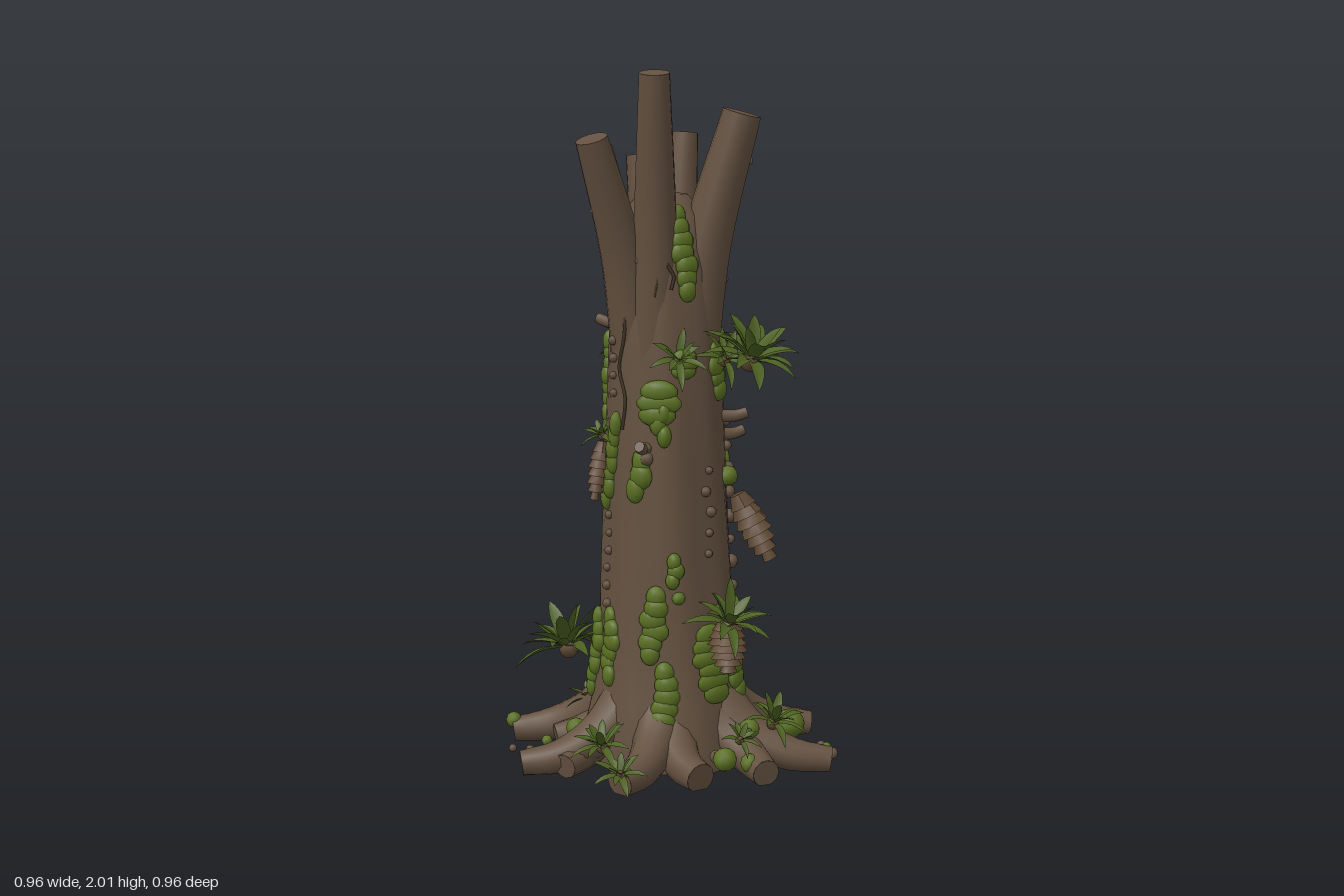
import * as THREE from 'three';
import { mergeGeometries, toCreasedNormals } from 'three/addons/utils/BufferGeometryUtils.js';

const V = (x, y, z) => new THREE.Vector3(x, y, z);
const UP = V(0, 1, 0), FWD = V(0, 0, 1);

export function createModel() {
  const model = new THREE.Group();
  model.name = 'mossyTrunk';
  const mat = (name, color, side = THREE.FrontSide) => {
    const m = new THREE.MeshStandardMaterial({ color, side });
    m.name = name;
    return m;
  };
  const bark = mat('bark', 0x645140);
  const moss = mat('moss', 0x5a7022);
  const leaf = mat('leaf', 0x4b5f20, THREE.DoubleSide);
  const husk = mat('husk', 0x5e4833, THREE.DoubleSide);
  const vineBrown = mat('vineBrown', 0x3f3423);

  let seed = 7;
  const rnd = () => (seed = (seed * 16807) % 2147483647) / 2147483647;
  const add = (name, geo, material) => {
    const m = new THREE.Mesh(geo, material);
    m.name = name;
    model.add(m);
    return m;
  };

  // Trunk profile [radius, y], with a slight lean
  const profile = [[0, 0.012], [0.25, 0.012], [0.25, 0.08], [0.222, 0.2], [0.2, 0.36], [0.187, 0.6],
    [0.172, 0.9], [0.162, 1.2], [0.148, 1.45], [0.12, 1.6], [0.07, 1.66], [0, 1.67]];
  const lean = y => [-0.014 * y, 0.02 * y];
  const radiusAt = y => {
    for (let i = 2; i < profile.length; i++) {
      const [r0, y0] = profile[i - 1], [r1, y1] = profile[i];
      if (y <= y1) return r0 + (r1 - r0) * (y - y0) / (y1 - y0);
    }
    return 0;
  };
  const flute = (a, y) => 1 + 0.025 * Math.sin(a * 7 + y * 2) + 0.015 * Math.sin(a * 4 - y * 5);
  const trunk = new THREE.LatheGeometry(profile.map(([r, y]) => new THREE.Vector2(r, y)), 40);
  const tp = trunk.attributes.position;
  for (let i = 0; i < tp.count; i++) {
    const x = tp.getX(i), y = tp.getY(i), z = tp.getZ(i), k = flute(Math.atan2(x, z), y), [lx, lz] = lean(y);
    tp.setXYZ(i, x * k + lx, y, z * k + lz);
  }
  add('trunk', toCreasedNormals(trunk, 0.9), bark);

  // Point on the bark at an angle (0 = front, positive towards +x) and height
  const onTrunk = (a, y, out = 0) => {
    const r = radiusAt(y) * flute(a, y) + out, [lx, lz] = lean(y);
    return V(Math.sin(a) * r + lx, y, Math.cos(a) * r + lz);
  };

  // Tapered tube with a flat cut end
  const limb = (pts, r0, r1, sides = 10, floor = false) => {
    const curve = new THREE.CatmullRomCurve3(pts), n = 12;
    const tube = new THREE.TubeGeometry(curve, n, 1, sides), p = tube.attributes.position;
    const v = V(0, 0, 0);
    for (let i = 0; i < p.count; i++) {
      const t = Math.floor(i / (sides + 1)) / n, c = curve.getPointAt(t);
      v.fromBufferAttribute(p, i).sub(c).multiplyScalar(r0 + (r1 - r0) * t).add(c);
      p.setXYZ(i, v.x, v.y, v.z);
    }
    const cap = new THREE.CircleGeometry(r1, sides);
    cap.applyQuaternion(new THREE.Quaternion().setFromUnitVectors(FWD, curve.getTangentAt(1)));
    cap.translate(...curve.getPointAt(1).toArray());
    const g = mergeGeometries([tube, cap]), q = g.attributes.position;
    if (floor) for (let i = 0; i < q.count; i++) q.setY(i, Math.max(q.getY(i), 0.004));
    return toCreasedNormals(g, 0.9);
  };

  // Cut limbs at the crown: base, end, base radius, end radius
  [[[-0.05, 1.15, 0.09], [-0.07, 2.0, 0.22], 0.08, 0.043],
    [[-0.09, 1.15, 0.05], [-0.24, 1.82, 0.18], 0.08, 0.046],
    [[0.04, 1.15, 0.06], [0.19, 1.89, 0.12], 0.09, 0.055],
    [[0.02, 1.2, -0.04], [0.055, 1.83, -0.085], 0.075, 0.04],
    [[-0.04, 1.2, -0.01], [-0.08, 1.77, -0.04], 0.075, 0.04],
    [[-0.1, 1.2, 0.0], [-0.2, 1.79, -0.03], 0.07, 0.04],
    [[0.01, 1.2, -0.03], [0.1, 1.53, -0.27], 0.06, 0.036]].forEach(([a, b, r0, r1]) => {
    const A = V(...a), B = V(...b), mid = A.clone().lerp(B, 0.5);
    mid.x = A.x + (B.x - A.x) * 0.36;
    mid.z = A.z + (B.z - A.z) * 0.36;
    add('cutLimb', limb([A, mid, B], r0, r1, 14), bark);
  });

  // Spreading roots: end x, end z, end radius
  [[-0.45, -0.18, 0.036], [-0.45, 0.16, 0.036], [-0.33, 0.21, 0.036], [-0.19, -0.32, 0.04], [0.29, -0.27, 0.038],
    [0.45, -0.13, 0.036], [0.44, 0.24, 0.036], [0.23, 0.35, 0.04], [0.04, 0.37, 0.044], [-0.19, 0.38, 0.042],
    [0.17, -0.31, 0.036], [0.0, -0.32, 0.036], [-0.33, -0.08, 0.04], [0.33, 0.07, 0.04]].forEach(([x, z, r], i) => {
    const a = Math.atan2(x, z), d = Math.hypot(x, z), bend = (i % 2 ? 0.16 : -0.16);
    const at = (k, y, w) => V(Math.sin(a + w) * d * k, y, Math.cos(a + w) * d * k);
    add('root', limb([at(0.22, 0.24, bend), at(0.52, 0.11, bend), at(0.78, 0.055, bend * 0.6), at(1, 0.04, 0)],
      0.085, r, 12, true), bark);
  });

  // Broken twigs: angle, height, length, rise
  [[1.45, 1.02, 0.07, 0.01], [1.7, 0.96, 0.06, 0.01], [3.0, 1.27, 0.07, 0.03], [2.9, 0.55, 0.05, 0], [2.2, 1.36, 0.09, 0.05],
    [-2.3, 1.28, 0.08, 0.01], [-0.5, 0.95, 0.04, 0.01]].forEach(([a, y, l, rise]) =>
    add('twig', limb([onTrunk(a, y, -0.03), onTrunk(a, y, l / 2), onTrunk(a, y, l).setY(y + rise)], 0.02, 0.016, 8), bark));
  add('crownTwig', limb([V(0.14, 1.74, 0.09), V(0.18, 1.75, 0.08), V(0.225, 1.755, 0.07)], 0.014, 0.012, 8), bark);
  add('crownTwig', limb([V(-0.19, 1.62, 0.12), V(-0.21, 1.62, 0.12), V(-0.235, 1.625, 0.13)], 0.014, 0.012, 8), bark);

  // Moss patches of overlapping flattened lumps: angle, height, width, length, slant
  [[0.28, 1.5, 0.075, 0.24, -0.06], [-0.25, 1.08, 0.13, 0.1, 0], [-0.2, 1.02, 0.05, 0.1, 0], [-0.6, 0.87, 0.07, 0.12, 0.05],
    [-1.1, 0.36, 0.07, 0.2, 0], [-0.35, 0.44, 0.08, 0.2, 0.03], [-0.2, 0.2, 0.08, 0.24, 0], [-0.05, 0.6, 0.05, 0.08, 0],
    [0.55, 0.32, 0.13, 0.2, 0], [0.95, 0.3, 0.08, 0.18, 0], [1.0, 1.16, 0.08, 0.14, 0], [1.85, 1.17, 0.07, 0.18, 0],
    [1.85, 0.84, 0.08, 0.12, 0], [2.4, 0.32, 0.08, 0.34, 0], [-1.5, 1.5, 0.05, 0.2, 0], [2.1, 0.6, 0.05, 0.08, 0],
    [-2.3, 1.36, 0.08, 0.22, 0], [-2.0, 1.15, 0.05, 0.2, 0], [-2.7, 1.1, 0.07, 0.14, 0], [-2.2, 0.9, 0.08, 0.28, 0.1],
    [-2.6, 0.64, 0.09, 0.16, 0], [-2.1, 0.6, 0.07, 0.12, 0], [2.95, 0.62, 0.07, 0.1, 0], [-1.2, 0.9, 0.05, 0.26, 0.1],
    [2.7, 0.9, 0.08, 0.13, 0], [-1.6, 0.32, 0.07, 0.24, 0], [0.2, 1.19, 0.09, 0.06, 0]].forEach(([a, y, w, l, slant]) => {
    const n = Math.max(3, Math.round(l / 0.035)), lumps = [];
    for (let i = 0; i < n; i++) {
      const t = (i + 0.5) / n - 0.5, b = a + slant * t * 4 + (rnd() - 0.5) * 0.12, yy = y + t * l;
      const s = (1 - 1.6 * t * t) * w * 0.5;
      const g = new THREE.SphereGeometry(1, 10, 7).scale(s, Math.max(0.024, l / n), 0.017 + 0.006 * rnd());
      g.rotateY(b);
      lumps.push(g.translate(...onTrunk(b, yy, 0.004).toArray()));
    }
    add('mossPatch', mergeGeometries(lumps), moss);
  });

  // Rows of bark knots: angle, lowest height, highest height, count, radius
  [[1.57, 0.37, 1.0, 10, 0.018], [-1.35, 0.48, 0.74, 6, 0.013], [0.6, 0.64, 0.88, 5, 0.014], [-2.75, 0.7, 0.95, 5, 0.018],
    [2.3, 0.45, 0.8, 6, 0.012], [-0.7, 1.48, 1.6, 4, 0.014], [2.0, 1.4, 1.6, 7, 0.014], [-0.5, 0.92, 0.95, 2, 0.02],
    [-1.2, 1.1, 1.45, 8, 0.012], [1.3, 1.35, 1.6, 5, 0.011]].forEach(([a, y0, y1, n, r]) => {
    const balls = [];
    for (let i = 0; i < n; i++) {
      const p = onTrunk(a + (rnd() - 0.5) * 0.15, y0 + (y1 - y0) * i / (n - 1), 0.004);
      balls.push(new THREE.SphereGeometry(r * (0.75 + 0.5 * rnd()), 8, 6).translate(p.x, p.y, p.z));
    }
    add('barkKnots', mergeGeometries(balls), bark);
  });

  // Pebbles and moss balls: x, y, z, radius
  const ball = (name, material) => ([x, y, z, r]) =>
    add(name, new THREE.IcosahedronGeometry(r, 1).translate(x, y, z), material);
  [[0.36, 0.03, -0.16, 0.022], [0.35, 0.1, 0.07, 0.045], [0.29, 0.09, -0.11, 0.024], [-0.13, 0.02, -0.4, 0.018],
    [-0.45, 0.07, -0.18, 0.024], [-0.37, 0.08, 0.08, 0.016], [0.12, 0.07, 0.3, 0.035], [0.19, 0.06, 0.31, 0.028],
    [0.2, 0.14, 0.24, 0.03], [0.43, 0.07, 0.22, 0.015], [0.33, 0.08, -0.02, 0.02], [0.04, 0.09, -0.33, 0.045],
    [-0.28, 0.1, 0.03, 0.03], [0.16, 0.85, 0.08, 0.03], [0.0, 0.52, 0.2, 0.02], [0.13, 0.68, -0.11, 0.025],
    [0.06, 0.66, -0.17, 0.045]].forEach(ball('mossBall', moss));
  [[0.47, 0.016, 0.11, 0.018], [0.455, 0.014, 0.02, 0.014], [-0.46, 0.012, -0.08, 0.012], [-0.41, 0.014, -0.05, 0.014],
    [-0.33, 0.07, 0.15, 0.018], [0.08, 0.02, -0.4, 0.014], [0.32, 0.05, -0.25, 0.018],
    [0.1, 0.07, 0.27, 0.02]].forEach(ball('pebble', bark));

  // One arching, folded, pointed leaf
  const blade = (len, wid, rise, droop, turn) => {
    const g = new THREE.PlaneGeometry(1, 1, 2, 6).translate(0, 0.5, 0), p = g.attributes.position;
    for (let i = 0; i < p.count; i++) {
      const t = p.getY(i), x = p.getX(i) * 2 * wid * 0.5 * Math.pow(Math.max(0, Math.sin(Math.PI * (0.14 + 0.86 * t))), 0.85);
      p.setXYZ(i, x, len * (t * Math.sin(rise) - droop * t * t) + Math.abs(x) * 0.45, len * t * Math.cos(rise));
    }
    g.rotateY(turn).computeVertexNormals();
    return g;
  };

  // Leaf rosettes: x, y, z, leaf length, leaves, outward tilt
  [[0.2, 1.2, 0.22, 0.19, 20, 0.4], [0.0, 1.2, 0.19, 0.11, 12, 0.7], [0.13, 1.2, 0.2, 0.11, 12, 0.7],
    [-0.28, 0.28, -0.2, 0.19, 18, 0.35], [0.03, 0.18, -0.32, 0.2, 18, 0.35], [0.14, 0.06, -0.38, 0.09, 12, 0.3],
    [-0.23, 0.12, 0.3, 0.11, 14, 0.3], [-0.19, 0.07, 0.41, 0.1, 12, 0.4], [0.14, 0.44, 0.22, 0.15, 18, 0.4],
    [0.27, 0.15, 0.23, 0.12, 14, 0.3], [-0.2, 0.97, 0.05, 0.08, 11, 0.6], [0.06, 0.97, -0.19, 0.11, 12, 0.6],
    [0.07, 0.66, -0.19, 0.08, 9, 0.6], [-0.12, 0.6, -0.15, 0.08, 9, 0.8], [-0.14, 1.2, -0.1, 0.07, 8, 0.8],
    [0.16, 0.13, 0.32, 0.08, 10, 0.5], [-0.22, 0.15, -0.1, 0.09, 10, 0.5]].forEach(([x, y, z, len, n, tilt]) => {
    const blades = [];
    for (let i = 0; i < n; i++) {
      const k = i / n;
      blades.push(blade(len * (0.8 + 0.3 * rnd()), len * 0.22, 0.3 + k * 0.9, 0.45 - 0.3 * k, i * 2.4 + rnd() * 0.3));
    }
    const m = add('leafRosette', mergeGeometries(blades), leaf);
    m.position.set(x, y, z);
    const h = Math.hypot(x, z);
    m.quaternion.setFromUnitVectors(UP, V(x / h * tilt, 1, z / h * tilt).normalize());
    const heart = add('rosetteHeart', new THREE.SphereGeometry(len * 0.16, 8, 6), husk);
    heart.position.set(x, y, z);
  });

  // Hanging husks of overlapping scale rings: top, bottom, radius
  [[[0.19, 0.79, 0.08], [0.28, 0.61, 0.1], 0.05], [[-0.2, 0.95, 0.05], [-0.225, 0.79, 0.06], 0.032],
    [[0.06, 0.96, -0.19], [0.07, 0.84, -0.2], 0.036], [[0.14, 0.45, 0.21], [0.14, 0.31, 0.23], 0.058]].forEach(([a, b, r]) => {
    const A = V(...a), B = V(...b), n = 7, rings = [];
    const q = new THREE.Quaternion().setFromUnitVectors(V(0, -1, 0), B.clone().sub(A).normalize());
    for (let i = 0; i < n; i++) {
      const t = (i + 0.5) / n, w = r * Math.pow(Math.sin(Math.PI * (0.2 + 0.75 * t)), 0.7);
      const c = A.clone().lerp(B, t);
      rings.push(new THREE.CylinderGeometry(w * 0.6, w, A.distanceTo(B) / n * 1.4, 9).rotateY(i * 0.5)
        .applyQuaternion(q).translate(c.x, c.y, c.z));
    }
    add('hangingHusk', mergeGeometries(rings), husk).geometry.computeVertexNormals();
  });

  // Thin vines lying on the bark: angle, lowest height, highest height
  [[-0.3, 1.38, 1.6], [0.0, 1.4, 1.55], [1.1, 0.33, 0.5], [-0.9, 1.0, 1.35], [2.6, 1.0, 1.3], [-2.9, 0.4, 0.7]].forEach(([a, y0, y1]) => {
    const pts = [0, 1, 2, 3, 4].map(i => onTrunk(a + 0.07 * Math.sin(i * 2.2), y0 + (y1 - y0) * i / 4, 0.006));
    add('vine', new THREE.TubeGeometry(new THREE.CatmullRomCurve3(pts), 16, 0.005, 5), vineBrown);
  });
  return model;
}
